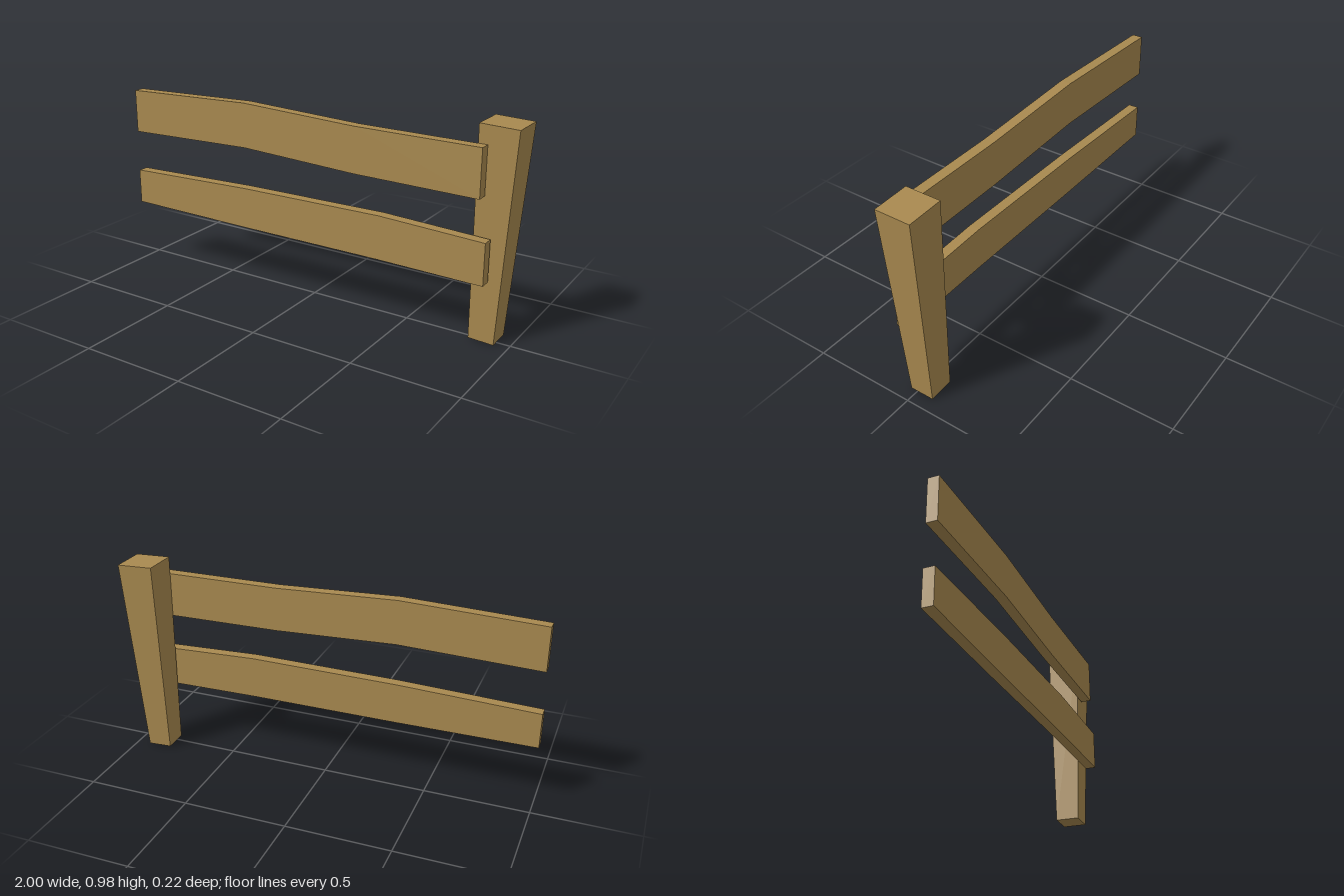
import * as THREE from 'three';

export function createModel() {
  const model = new THREE.Group();
  model.name = 'fence';
  const wood = new THREE.MeshStandardMaterial({ color: 0xa8894f });
  wood.name = 'wood';

  // Leaning post, wider at the top: corners of a box moved to a taper
  const postGeo = new THREE.BoxGeometry(1, 1, 1);
  const p = postGeo.attributes.position;
  const bottom = { x: [0.817, 0.935], y: [0.006, 0], z: [-0.083, 0.034] };
  const top = { x: [0.823, 0.998], y: [0.975, 0.968], z: [-0.111, 0.06] };
  for (let i = 0; i < p.count; i++) {
    const end = p.getY(i) > 0 ? top : bottom;
    const sx = p.getX(i) > 0 ? 1 : 0;
    const sz = p.getZ(i) > 0 ? 1 : 0;
    p.setXYZ(i, end.x[sx], end.y[sx], end.z[sz]);
  }
  postGeo.computeVertexNormals();
  const post = new THREE.Mesh(postGeo, wood);
  post.name = 'post';
  model.add(post);

  // Bent plank rails: sections are [x, lower edge, upper edge]
  const addRail = (name, sections) => {
    const outline = [
      ...sections.map(([x, low]) => new THREE.Vector2(x, low)),
      ...sections.map(([x, , high]) => new THREE.Vector2(x, high)).reverse(),
    ];
    const geo = new THREE.ExtrudeGeometry(new THREE.Shape(outline), { depth: 0.052, bevelEnabled: false });
    geo.translate(0, 0, 0.059);
    const rail = new THREE.Mesh(geo, wood);
    rail.name = name;
    model.add(rail);
  };
  addRail('upperRail', [
    [-0.995, 0.685, 0.896], [-0.32, 0.704, 0.918], [0.27, 0.679, 0.893], [0.865, 0.672, 0.89],
  ]);
  addRail('lowerRail', [
    [-1, 0.309, 0.48], [-0.33, 0.304, 0.502], [0.4, 0.304, 0.51], [0.902, 0.297, 0.49],
  ]);
  return model;
}
